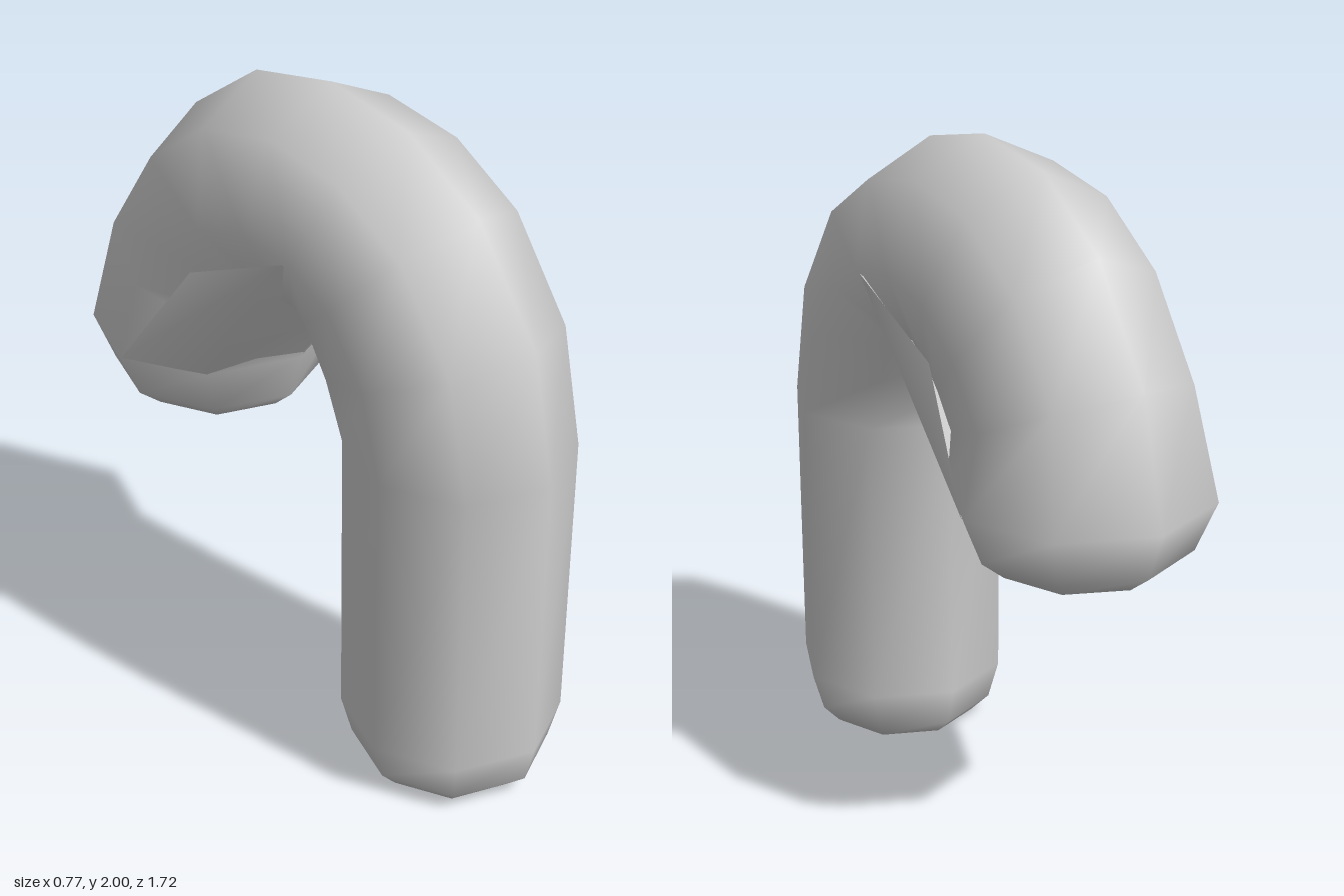
import * as THREE from 'three';

const material = new THREE.MeshStandardMaterial({ color: 0xcccccc, side: THREE.DoubleSide });

function surface(name, positions, index) {
  const g = new THREE.BufferGeometry();
  g.setAttribute('position', new THREE.Float32BufferAttribute(positions, 3));
  g.setIndex(index);
  g.computeVertexNormals();
  const mesh = new THREE.Mesh(g, material);
  mesh.name = name;
  return mesh;
}

// Eight-sided tube through rings: outer, side and inner point (z, y) and half width
function bentTube(rings) {
  const sides = 8, pos = [], idx = [];
  for (const [oz, oy, sz, sy, iz, iy, w] of rings) {
    for (let j = 0; j < sides; j++) {
      const a = j / sides * Math.PI * 2, c = Math.cos(a);
      const [tz, ty] = c > 0 ? [oz, oy] : [iz, iy];
      pos.push(w * Math.sin(a), sy + (ty - sy) * Math.abs(c), sz + (tz - sz) * Math.abs(c));
    }
  }
  const at = (i, j) => i * sides + j % sides;
  for (let i = 0; i < rings.length - 1; i++)
    for (let j = 0; j < sides; j++)
      idx.push(at(i, j), at(i, j + 1), at(i + 1, j + 1), at(i, j), at(i + 1, j + 1), at(i + 1, j));
  // flat end caps
  const last = rings.length - 1;
  for (let j = 1; j < sides - 1; j++) {
    idx.push(at(0, 0), at(0, j + 1), at(0, j));
    idx.push(at(last, 0), at(last, j), at(last, j + 1));
  }
  return surface('bentTube', pos, idx);
}

export function createModel() {
  const group = new THREE.Group();
  group.name = 'bentCapsule';

  // horizontal ring on the stem (dir 1) or on the hanging end (dir -1)
  const flat = (z, y, r, w, dir) => [z + dir * r, y, z, y, z - dir * r, y, w];
  group.add(bentTube([
    flat(0.535, 0, 0.235, 0.235, 1),
    flat(0.535, 0.06, 0.3, 0.29, 1),
    flat(0.535, 0.18, 0.33, 0.325, 1),
    flat(0.535, 1.08, 0.33, 0.325, 1),
    // bend
    [0.79, 1.46, 0.47, 1.34, 0.14, 1.21, 0.325],
    [0.575, 1.775, 0.34, 1.53, 0.07, 1.34, 0.325],
    [0.315, 1.94, 0.19, 1.62, 0.065, 1.35, 0.325],
    [0.02, 2.0, 0.01, 1.645, 0.05, 1.34, 0.325],
    [-0.28, 1.95, -0.18, 1.6, 0.03, 1.3, 0.325],
    [-0.545, 1.775, -0.34, 1.48, 0, 1.25, 0.325],
    [-0.76, 1.46, -0.46, 1.32, -0.05, 1.18, 0.325],
    // hanging end
    flat(-0.482, 1.095, 0.373, 0.383, -1),
    flat(-0.475, 0.95, 0.325, 0.32, -1),
    flat(-0.47, 0.89, 0.25, 0.245, -1),
  ]));

  // Folded web on each side of the inner bend
  for (const s of [1, -1]) {
    const points = [
      [0.325, 1.61, 0.165], [0.325, 1.45, -0.215], [0.383, 1.095, -0.475],
      [0.27, 1.095, -0.22], [0, 1.34, 0.07], [0, 1.095, -0.11],
    ];
    const tris = [[0, 2, 1], [0, 3, 2], [0, 4, 3], [4, 5, 3]];
    group.add(surface(s > 0 ? 'leftFold' : 'rightFold',
      points.flatMap(([x, y, z]) => [s * x, y, z]),
      tris.flatMap(([a, b, c]) => s > 0 ? [a, c, b] : [a, b, c])));
  }
  return group;
}
